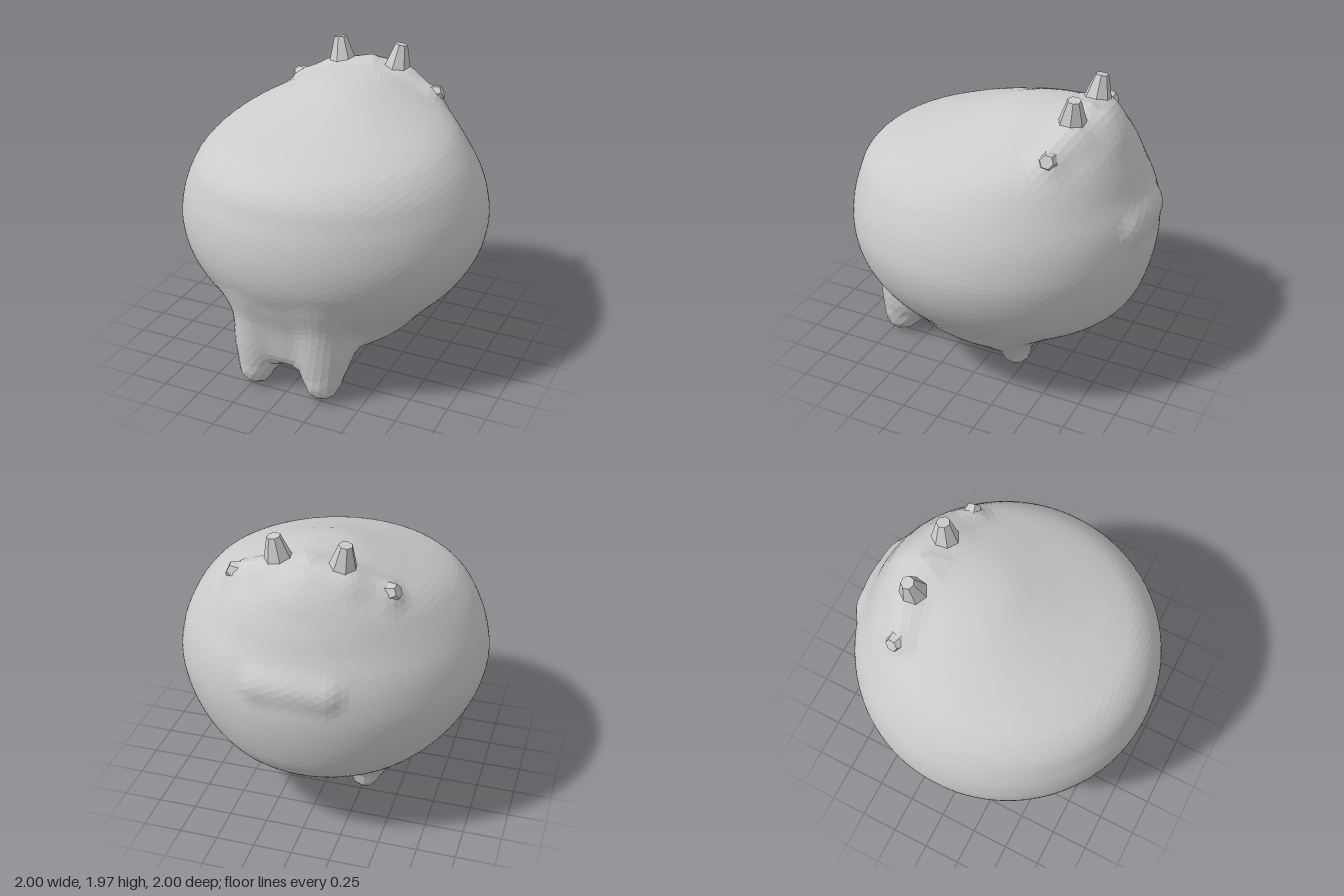
import * as THREE from 'three';

// Body cross-sections: [height, half width, front z, back z]
const SECTIONS = [
  [0.12, 0.14, 0.46, -0.04], [0.2, 0.38, 0.55, -0.32], [0.3, 0.55, 0.63, -0.48],
  [0.4, 0.65, 0.7, -0.68], [0.5, 0.75, 0.78, -0.83], [0.6, 0.84, 0.86, -0.905],
  [0.72, 0.92, 0.93, -0.95], [0.85, 0.975, 0.98, -0.98], [1.0, 1.0, 1.0, -0.995],
  [1.15, 0.98, 0.99, -0.985], [1.27, 0.94, 0.96, -0.955], [1.4, 0.87, 0.91, -0.9],
  [1.5, 0.79, 0.805, -0.865], [1.56, 0.725, 0.66, -0.84], [1.62, 0.635, 0.48, -0.815],
  [1.68, 0.52, 0.31, -0.79], [1.74, 0.4, 0.15, -0.75], [1.8, 0.26, -0.02, -0.68],
  [1.83, 0.16, -0.2, -0.62], [1.85, 0.06, -0.42, -0.54],
];

// Smooth interpolation between neighbouring sections
function sectionAt(y) {
  const last = SECTIONS.length - 1;
  let i = 0;
  while (i < last - 1 && SECTIONS[i + 1][0] < y) i++;
  const a = SECTIONS[i], b = SECTIONS[i + 1];
  const before = SECTIONS[Math.max(i - 1, 0)], after = SECTIONS[Math.min(i + 2, last)];
  const h = b[0] - a[0], t = THREE.MathUtils.clamp((y - a[0]) / h, 0, 1);
  return a.map((v, k) => {
    const m0 = h * (b[k] - before[k]) / (b[0] - before[0]);
    const m1 = h * (after[k] - v) / (after[0] - a[0]);
    const d = b[k] - v;
    return v + t * (m0 + t * (3 * d - 2 * m0 - m1 + t * (m0 + m1 - 2 * d)));
  });
}

// Distance-like value of the round torso, negative inside
function torso(p) {
  const [, w, front, back] = sectionAt(p.y);
  const half = (front - back) / 2;
  const q = Math.hypot(p.x / w, (p.z - (front + back) / 2) / half);
  return Math.max((q - 1) * Math.min(w, half), 0.12 - p.y, p.y - 1.85);
}

// Tapered limb from a (radius ra) to b (radius rb)
function limb(a, b, ra, rb) {
  const start = new THREE.Vector3(...a), axis = new THREE.Vector3(...b).sub(start);
  const q = new THREE.Vector3();
  return p => {
    q.copy(p).sub(start);
    const t = THREE.MathUtils.clamp(q.dot(axis) / axis.lengthSq(), 0, 1);
    return q.addScaledVector(axis, -t).length() - THREE.MathUtils.lerp(ra, rb, t);
  };
}

function blend(a, b, k) {
  const h = Math.max(k - Math.abs(a - b), 0) / k;
  return Math.min(a, b) - h * h * k / 4;
}

// Limbs on the +x side; the other side is mirrored: [shape, blend width]
const LIMBS = [
  [limb([0.05, 0.31, 0.45], [0.2, 0.33, 0.58], 0.17, 0.19), 0.1],     // underside behind front legs
  [limb([0.23, 0.13, 0.695], [0.19, 0.66, 0.665], 0.125, 0.205), 0.1], // front leg
  [limb([0, 0.33, 0.67], [0, 0.65, 0.7], 0.14, 0.17), 0.08],          // chest between legs
  [limb([0.265, 0.115, -0.2], [0.32, 0.42, -0.16], 0.1, 0.26), 0.18], // back leg
  [limb([0, 1.19, -0.895], [0.2, 1.18, -0.885], 0.093, 0.093), 0.07], // snout
  [limb([0, 1.73, -0.57], [0.22, 1.72, -0.54], 0.12, 0.11), 0.1],     // brow
  [limb([0.22, 1.7, -0.51], [0.44, 1.655, -0.48], 0.1, 0.085), 0.1],  // ear root
];

function field(p) {
  const m = new THREE.Vector3(Math.abs(p.x), p.y, p.z);
  return LIMBS.reduce((d, [shape, k]) => blend(d, shape(m), k), torso(m));
}

// One skin: every vertex of a sphere slides along its ray to the surface
function bodyGeometry() {
  const geo = new THREE.IcosahedronGeometry(1, 23);
  const pos = geo.attributes.position;
  const centre = new THREE.Vector3(0, 0.95, 0);
  const dir = new THREE.Vector3(), p = new THREE.Vector3();
  const at = r => field(p.copy(centre).addScaledVector(dir, r));
  for (let i = 0; i < pos.count; i++) {
    dir.fromBufferAttribute(pos, i).normalize();
    let hi = 1.5;
    while (hi > 0.3 && at(hi - 0.025) > 0) hi -= 0.025;
    let lo = hi - 0.025;
    for (let n = 0; n < 10; n++) {
      const mid = (lo + hi) / 2;
      if (at(mid) > 0) hi = mid; else lo = mid;
    }
    at(lo);
    pos.setXYZ(i, p.x, p.y, p.z);
  }
  geo.computeVertexNormals();
  return geo;
}

export function createModel() {
  const group = new THREE.Group();
  const material = new THREE.MeshStandardMaterial({ color: 0xcccccc, flatShading: true });
  const up = new THREE.Vector3(0, 1, 0);

  // Blunt faceted cone between two points
  function addStub(name, from, to, baseRadius, tipRadius, sides) {
    const a = new THREE.Vector3(...from), b = new THREE.Vector3(...to);
    const axis = b.clone().sub(a);
    const mesh = new THREE.Mesh(
      new THREE.CylinderGeometry(tipRadius, baseRadius, axis.length(), sides), material);
    mesh.name = name;
    mesh.position.copy(a).lerp(b, 0.5);
    mesh.quaternion.setFromUnitVectors(up, axis.normalize());
    group.add(mesh);
  }

  const body = new THREE.Mesh(bodyGeometry(), material);
  body.name = 'body';
  group.add(body);

  for (const [side, label] of [[1, 'left'], [-1, 'right']]) {
    addStub(label + 'Horn', [side * 0.19, 1.77, -0.52], [side * 0.218, 1.975, -0.54], 0.105, 0.042, 7);
    addStub(label + 'Ear', [side * 0.4, 1.645, -0.48], [side * 0.525, 1.705, -0.505], 0.105, 0.042, 6);
  }
  return group;
}
